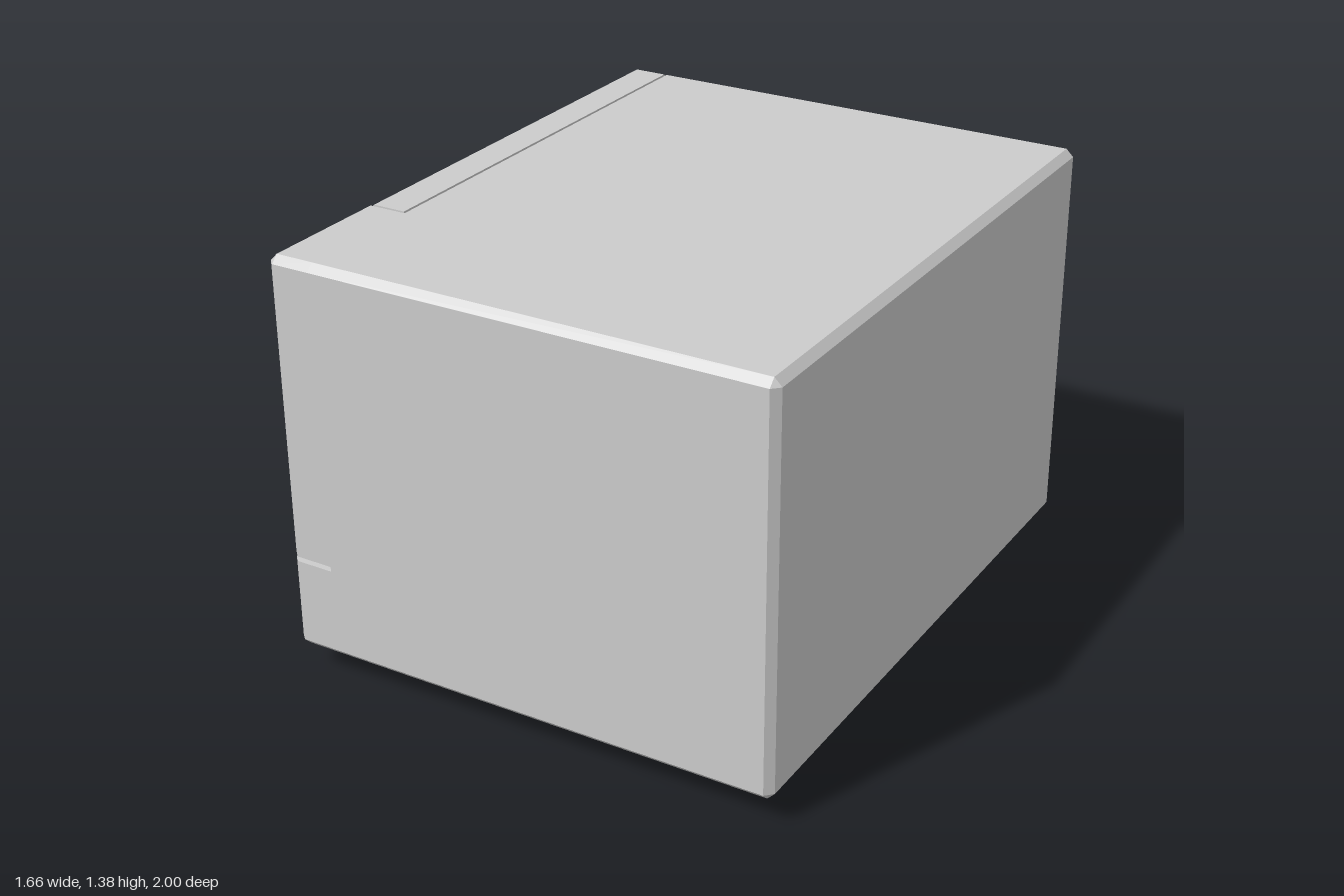
import * as THREE from 'three';
import { ConvexGeometry } from 'three/addons/geometries/ConvexGeometry.js';

const material = new THREE.MeshStandardMaterial({ color: 0xcccccc });
const CHAMFER = 0.024;

function add(parent, name, geometry) {
  const mesh = new THREE.Mesh(geometry, material);
  mesh.name = name;
  parent.add(mesh);
  return mesh;
}

// Box whose edges are chamfered wherever two outer faces meet.
// outer lists the exposed faces, such as '+x -y'.
function chamferedBox(min, max, outer = '') {
  const points = [];
  for (let corner = 0; corner < 8; corner++) {
    const high = [corner & 1, corner & 2, corner & 4].map(Boolean);
    const flagged = high.map((h, i) => outer.includes((h ? '+' : '-') + 'xyz'[i]));
    for (let face = 0; face < 3; face++) {
      const others = [0, 1, 2].filter((i) => i !== face);
      // an inner face loses the corner that its two outer neighbours cut away
      if (!flagged[face] && others.every((i) => flagged[i])) continue;
      const p = high.map((h, i) => {
        const inset = i !== face && flagged[i] && flagged[face] ? CHAMFER : 0;
        return h ? max[i] - inset : min[i] + inset;
      });
      points.push(new THREE.Vector3(...p));
    }
  }
  return new ConvexGeometry(points);
}

export function createModel() {
  const model = new THREE.Group();
  model.name = 'microwaveOven';
  const bottom = 0.085, top = 1.385;

  // Main casing
  add(model, 'casing', chamferedBox([-0.68, bottom, -1], [0.83, top, 1], '+x +y -y +z -z'));

  // Control panel beside the door, split by a slot above the open button
  add(model, 'controlPanel', chamferedBox([-0.83, 0.403, 0.54], [-0.68, top, 1], '-x +y +z'));
  add(model, 'openButton', chamferedBox([-0.83, bottom, 0.54], [-0.68, 0.387, 1], '-x -y +z'));

  // Door frame around a recessed window
  const door = new THREE.Group();
  door.name = 'door';
  model.add(door);
  const out = -0.825, inn = -0.69, back = -1, front = 0.53;
  const win = { y0: 0.3, y1: 1.15, z0: -0.85, z1: 0.42 };
  add(door, 'doorTopRail', chamferedBox([out, win.y1, back], [inn, top, front], '-x +y -z'));
  add(door, 'doorBottomRail', chamferedBox([out, bottom, back], [inn, win.y0, front], '-x -y -z'));
  add(door, 'doorHingeStile', chamferedBox([out, win.y0, back], [inn, win.y1, win.z0], '-x -z'));
  add(door, 'doorLatchStile', chamferedBox([out, win.y0, win.z1], [inn, win.y1, front], '-x'));
  add(door, 'doorWindow', chamferedBox([out + 0.02, win.y0, win.z0], [inn, win.y1, win.z1]));

  // Base plate with a sloping lower rim
  const basePoints = [];
  for (const [y, inset] of [[bottom, 0], [0.06, 0], [0.037, 0.05]]) {
    for (const x of [-0.64 + inset, 0.77 - inset]) {
      for (const z of [-0.91 + inset, 0.935 - inset]) basePoints.push(new THREE.Vector3(x, y, z));
    }
  }
  add(model, 'basePlate', new ConvexGeometry(basePoints));

  // Four tapered feet
  const footGeometry = new THREE.CylinderGeometry(0.036, 0.027, 0.04, 12);
  for (const x of [-0.535, 0.665]) {
    for (const z of [-0.8, 0.825]) add(model, 'foot', footGeometry).position.set(x, 0.02, z);
  }
  return model;
}
